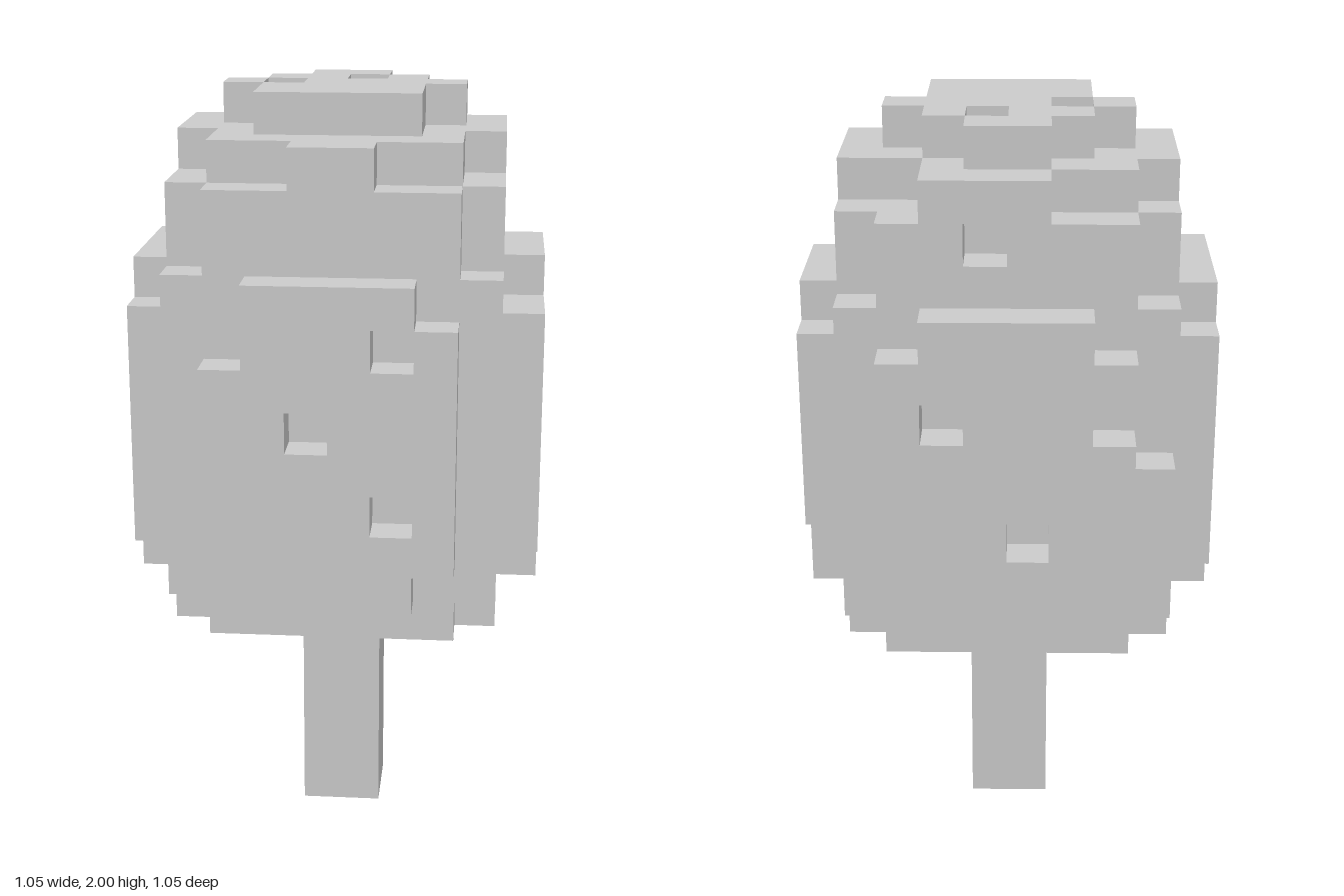
import * as THREE from 'three';

const U = 2 / 19; // edge of one block

export function createModel() {
  const group = new THREE.Group();
  const material = new THREE.MeshStandardMaterial({ color: 0xcccccc, flatShading: true });

  const cells = new Set();
  const key = (x, y, z) => `${x},${y},${z}`;
  const carve = (x, y, z) => cells.delete(key(x, y, z));
  // Fills blocks from the first index up to and including the second
  const fill = (x0, x1, y0, y1, z0, z1) => {
    for (let x = x0; x <= x1; x++)
      for (let y = y0; y <= y1; y++)
        for (let z = z0; z <= z1; z++) cells.add(key(x, y, z));
  };

  // Crown core, with its corners cut at the bottom and the shoulders
  fill(-4, 3, 6, 16, -4, 3);
  for (const x of [-4, 3])
    for (const z of [-4, 3])
      for (const y of [6, 15, 16]) carve(x, y, z);

  // Two stepped top layers, as rows [z, xMin, xMax]
  const layer = (y, rows) => rows.forEach(([z, a, b]) => fill(a, b, y, y, z, z));
  layer(17, [[-4, -1, 1], [-3, -3, 1], [-2, -4, 3], [-1, -4, 3], [0, -4, 3], [1, -3, 2], [2, -3, 2], [3, -1, 0]]);
  layer(18, [[-3, -1, 0], [-2, -2, 1], [-1, -3, 2], [0, -2, 1], [1, -2, 1]]);

  // Raised side panels; the missing blocks are [along, y]
  const panels = [
    { at: (a, y) => [a, y, 4], missing: [[-3, 13], [1, 13], [-1, 11], [1, 9]] },
    { at: (a, y) => [a, y, -5], missing: [[1, 12], [-1, 9], [-3, 12]] },
    { at: (a, y) => [4, y, a], missing: [[1, 14], [-2, 12], [1, 9], [-3, 8]] },
    { at: (a, y) => [-5, y, a], missing: [[-1, 13], [0, 10], [-2, 9]] },
  ];
  for (const { at, missing } of panels) {
    for (let y = 7; y <= 14; y++) {
      const inset = y === 7 || y === 14 ? 1 : 0;
      for (let a = -3 + inset; a <= 2 - inset; a++) cells.add(key(...at(a, y)));
    }
    missing.forEach(([a, y]) => carve(...at(a, y)));
  }

  // Pits in the core and the top
  carve(3, 15, -2);
  carve(0, 16, -4);
  carve(3, 8, -3);
  carve(-4, 11, -4);
  carve(0, 18, -2);
  carve(-2, 18, -1);

  const crown = new THREE.Mesh(blockSurface(cells, key), material);
  crown.name = 'crown';
  group.add(crown);

  // Trunk
  const trunk = new THREE.Mesh(new THREE.BoxGeometry(2 * U, 6 * U, 2 * U), material);
  trunk.position.y = 3 * U;
  trunk.name = 'trunk';
  group.add(trunk);

  return group;
}

// Builds only the block faces that touch empty space
function blockSurface(cells, key) {
  const positions = [], normals = [], indices = [];
  for (const cell of cells) {
    const c = cell.split(',').map(Number);
    for (let axis = 0; axis < 3; axis++) {
      for (const dir of [-1, 1]) {
        const next = [...c];
        next[axis] += dir;
        if (cells.has(key(...next))) continue;
        const u = (axis + 1) % 3, v = (axis + 2) % 3;
        const normal = [0, 0, 0];
        normal[axis] = dir;
        const start = positions.length / 3;
        for (const [i, j] of [[0, 0], [1, 0], [1, 1], [0, 1]]) {
          const p = [...c];
          if (dir > 0) p[axis] += 1;
          p[u] += i;
          p[v] += j;
          positions.push(...p.map((n) => n * U));
          normals.push(...normal);
        }
        const order = dir > 0 ? [0, 1, 2, 0, 2, 3] : [0, 2, 1, 0, 3, 2];
        indices.push(...order.map((n) => n + start));
      }
    }
  }
  const geometry = new THREE.BufferGeometry();
  geometry.setAttribute('position', new THREE.Float32BufferAttribute(positions, 3));
  geometry.setAttribute('normal', new THREE.Float32BufferAttribute(normals, 3));
  geometry.setIndex(indices);
  return geometry;
}
